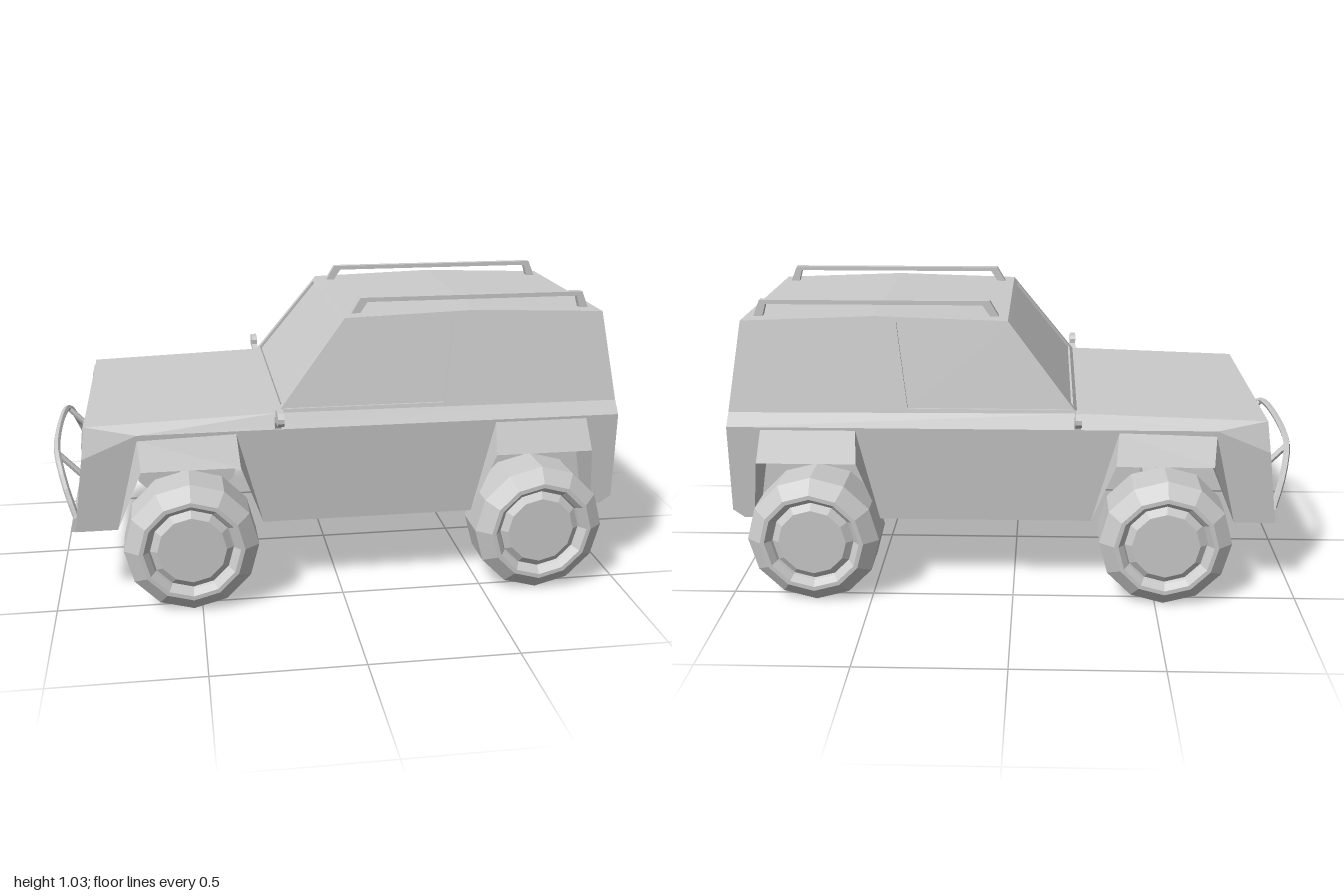
import * as THREE from 'three';

const mat = new THREE.MeshStandardMaterial({ color: 0xcccccc, flatShading: true, side: THREE.DoubleSide });
const flip = ([x, y, z]) => [x, y, -z];
const flipAll = (polys) => polys.map((p) => p.map(flip).reverse());
const both = (polys) => [...polys, ...flipAll(polys)];
// polygon spanning the full width from a half outline (z > 0)
const across = (pts) => [...pts, ...pts.map(flip).reverse()];

function add(parent, name, geometry, x = 0, y = 0, z = 0) {
  const mesh = new THREE.Mesh(geometry, mat);
  mesh.name = name;
  mesh.position.set(x, y, z);
  parent.add(mesh);
  return mesh;
}

// flat panels: each polygon becomes a triangle fan
function panels(polys) {
  const v = [];
  for (const p of polys)
    for (let i = 1; i < p.length - 1; i++) v.push(...p[0], ...p[i], ...p[i + 1]);
  const g = new THREE.BufferGeometry();
  g.setAttribute('position', new THREE.Float32BufferAttribute(v, 3));
  g.computeVertexNormals();
  return g;
}

// four-cornered frame with a pane set back by an offset
function framed(outer, inner, offset) {
  const pane = inner.map((p) => p.map((c, i) => c + offset[i]));
  const polys = [pane];
  for (let i = 0; i < 4; i++) {
    const j = (i + 1) % 4;
    polys.push([outer[i], outer[j], inner[j], inner[i]], [inner[i], inner[j], pane[j], pane[i]]);
  }
  return polys;
}

function extrude(pts, depth) {
  const shape = new THREE.Shape(pts.map((p) => new THREE.Vector2(...p)));
  return new THREE.ExtrudeGeometry(shape, { depth, bevelEnabled: false }).translate(0, 0, -depth / 2);
}

const sideZ = (y) => 0.44 + ((y - 0.27) / 0.35) * 0.028;
const cabinZ = (y) => 0.44 - ((y - 0.665) / 0.31) * 0.06;
const onSide = ([x, y]) => [x, y, sideZ(y)];
const onCabin = ([x, y]) => [x, y, cabinZ(y)];

// wheel arches: bottom front, top front, top rear, bottom rear, then outer lip x range
const arches = [
  { name: 'front', cut: [[-0.78, 0.27], [-0.7, 0.6], [-0.365, 0.61], [-0.275, 0.27]], lip: [-0.69, -0.355], inner: 0 },
  { name: 'rear', cut: [[0.475, 0.27], [0.545, 0.61], [0.875, 0.61], [0.925, 0.27]], lip: [0.54, 0.885], inner: 0.34 },
];

function buildBody(body) {
  // lower sides, notched for the arches
  const outline = [[-0.925, 0.27], [-0.887, 0.54], [-0.7, 0.62], [0.992, 0.62], [1, 0.3], [0.96, 0.27],
    ...[...arches[1].cut].reverse(), ...[...arches[0].cut].reverse()];
  for (const s of [1, -1]) {
    const g = new THREE.ShapeGeometry(new THREE.Shape(outline.map((p) => new THREE.Vector2(...p))));
    const pos = g.attributes.position;
    for (let i = 0; i < pos.count; i++) pos.setZ(i, s * sideZ(pos.getY(i)));
    if (s < 0) {
      const ix = g.index.array;
      for (let i = 0; i < ix.length; i += 3) [ix[i], ix[i + 1]] = [ix[i + 1], ix[i]];
    }
    g.computeVertexNormals();
    add(body, s > 0 ? 'leftLowerSide' : 'rightLowerSide', g);
  }

  // sloping shoulder below the windows
  const S0 = onSide([-0.887, 0.54]), S1 = onSide([-0.7, 0.62]), S2 = onSide([0.992, 0.62]);
  const H0 = [-0.875, 0.648, 0.437], H1 = [-0.22, 0.67, 0.439], R1 = [0.988, 0.665, 0.44];
  add(body, 'shoulders', panels(both([[S0, S1, H0], [S1, H1, H0], [S1, S2, R1, H1]])));
  add(body, 'hood', panels([across([H0, H1])]));

  // cabin: sides with windows, windshield, rear window, roof
  const A = onCabin([0.02, 0.98]), M = onCabin([0.48, 0.994]), B = onCabin([0.94, 0.976]);
  const sideGlass = [[-0.2, 0.682], [0.365, 0.682], [0.403, 0.975], [0.014, 0.968]].map(onCabin);
  add(body, 'cabinSides', panels(both([...framed([H1, R1, B, A], sideGlass, [0, 0, -0.008]), [A, B, M]])));
  add(body, 'windshield', panels(framed(across([H1, A]),
    across([[-0.207, 0.687, 0.405], [0.008, 0.965, 0.355]]), [0.007, -0.006, 0])));
  add(body, 'rearWindow', panels(framed(across([R1, B]),
    across([[0.986, 0.676, 0.405], [0.944, 0.955, 0.352]]), [-0.015, 0, 0])));
  add(body, 'roof', panels([across([A, M]), across([M, B])]));

  // tail
  const K1 = onSide([1, 0.3]), K2 = onSide([0.96, 0.27]);
  add(body, 'tailgate', panels([across([K1, S2]), across([S2, R1]), across([K2, K1])]));

  // nose with recessed grille
  const N = onSide([-0.925, 0.27]);
  add(body, 'grille', panels([...framed(across([N, S0]),
    across([[-0.913, 0.35, 0.38], [-0.889, 0.525, 0.38]]), [0.025, 0, 0]), across([S0, H0])]));

  // floor, leaving the wheel wells open
  const floor = (x0, x1, z) => across([[x0, 0.27, z], [x1, 0.27, z]]);
  add(body, 'floor', panels([floor(-0.925, -0.78, 0.44), floor(-0.275, 0.475, 0.44),
    floor(0.475, 0.925, 0.34), floor(0.925, 0.96, 0.44)]));

  // flares and wheel well liners
  for (const { name, cut, lip, inner } of arches) {
    const [b0, b1, b2, b3] = cut.map(onSide);
    const o1 = [lip[0], 0.505, 0.517], o2 = [lip[1], 0.505, 0.517];
    add(body, name + 'Flares', panels(both([[b1, o1, o2, b2], [b0, o1, b1], [b2, o2, b3]])));
    const edge = [b0, o1, o2, b3];
    const inset = edge.map(([x, y]) => [x, y, inner]);
    const liner = [0, 1, 2].map((i) => [edge[i], inset[i], inset[i + 1], edge[i + 1]]);
    if (inner) liner.push(inset);
    add(body, name + 'WheelWells', panels(both(liner)));
  }
}

function buildWheel() {
  const profile = [[0, 0.4], [0.23, 0.4], [0.23, 0.545], [0.18, 0.585], [0.165, 0.585],
    [0.147, 0.565], [0.142, 0.555], [0.118, 0.572], [0, 0.572]];
  return new THREE.LatheGeometry(profile.map((p) => new THREE.Vector2(...p)), 12).rotateX(Math.PI / 2);
}

export function createModel() {
  const car = new THREE.Group();
  car.name = 'offRoadCar';
  const body = new THREE.Group();
  body.name = 'body';
  car.add(body);
  buildBody(body);

  // wheels and axles
  for (const [x, end] of [[-0.53, 'front'], [0.695, 'rear']]) {
    add(car, end + 'LeftWheel', buildWheel(), x, 0.235, 0);
    add(car, end + 'RightWheel', buildWheel(), x, 0.235, 0).rotation.y = Math.PI;
    add(car, end + 'Axle', new THREE.BoxGeometry(0.055, 0.05, 0.82), x, 0.225, 0);
  }

  // bumper and tubular guard
  add(car, 'frontBumper', extrude([[-0.942, 0.27], [-0.9, 0.27], [-0.9, 0.32], [-0.928, 0.32]], 0.87));
  const half = [[-0.92, 0.31, 0.41], [-0.95, 0.4, 0.375], [-0.975, 0.48, 0.31], [-0.988, 0.51, 0.22]];
  const path = new THREE.CatmullRomCurve3(across(half).map((p) => new THREE.Vector3(...p)));
  add(car, 'guardBar', new THREE.TubeGeometry(path, 20, 0.012, 6));

  for (const s of [1, -1]) {
    const side = s > 0 ? 'left' : 'right';
    const strut = new THREE.LineCurve3(new THREE.Vector3(-0.89, 0.4, s * 0.265), new THREE.Vector3(-0.982, 0.498, s * 0.265));
    add(car, side + 'GuardStrut', new THREE.TubeGeometry(strut, 1, 0.011, 6));

    // lamps
    const head = add(car, side + 'Headlight', new THREE.BoxGeometry(0.012, 0.07, 0.12), -0.879, 0.597, s * 0.355);
    head.rotation.z = -0.11;
    const tail = [[0.275, 0.47], [0.428, 0.47], [0.42, 0.618], [0.258, 0.618]];
    const lamp = add(car, side + 'TailLight', extrude(tail.map(([z, y]) => [-s * z, y]), 0.008), 0.995);
    lamp.rotation.y = Math.PI / 2;

    // roof rails
    add(car, side + 'RoofRail', extrude([[0.05, 0.975], [0.085, 1.035], [0.885, 1.035], [0.91, 0.975],
      [0.878, 0.975], [0.865, 1.02], [0.11, 1.02], [0.08, 0.975]], 0.025), 0, 0, s * 0.305);

    // door mirrors
    const mirror = [[0.445, 0.635], [0.46, 0.61], [0.478, 0.645], [0.505, 0.657], [0.56, 0.66], [0.578, 0.675],
      [0.578, 0.69], [0.555, 0.705], [0.508, 0.705], [0.496, 0.692], [0.497, 0.675], [0.465, 0.665]];
    const m = add(car, side + 'Mirror', extrude(mirror.map(([z, y]) => [-s * z, y]), 0.022), -0.222);
    m.rotation.y = Math.PI / 2;
  }
  return car;
}
